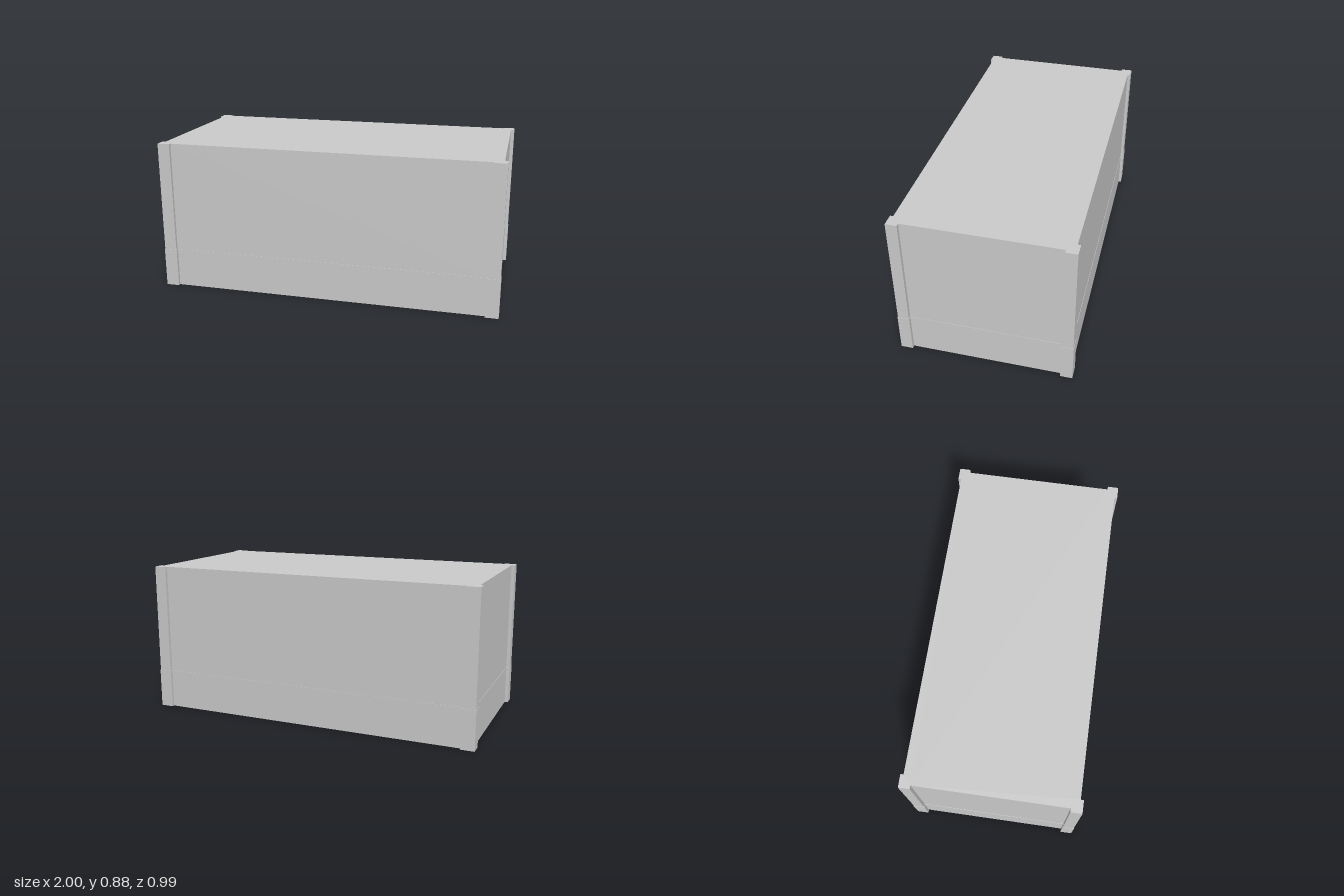
import * as THREE from 'three';

const material = new THREE.MeshStandardMaterial({ color: 0xcccccc, flatShading: true });

// Plan of the case: recessed walls between four projecting corner posts.
function outline({ postX, postZ, wallX, wallZ, innerX, innerZ }) {
  // one corner, running from the side wall to the long wall
  const corner = [
    [wallX, innerZ], [postX, innerZ], [postX, postZ], [innerX, postZ], [innerX, wallZ],
  ];
  const points = [];
  for (const [sx, sz] of [[1, 1], [-1, 1], [-1, -1], [1, -1]]) {
    const pts = corner.map(([x, z]) => new THREE.Vector2(x * sx, z * sz));
    points.push(...(sx * sz > 0 ? pts : pts.reverse()));
  }
  return new THREE.Shape(points);
}

function section(name, plan, bottom, top) {
  const geometry = new THREE.ExtrudeGeometry(outline(plan), { depth: top - bottom, bevelEnabled: false });
  geometry.rotateX(-Math.PI / 2);
  geometry.translate(0, bottom, 0);
  const mesh = new THREE.Mesh(geometry, material);
  mesh.name = name;
  return mesh;
}

export function createModel() {
  const group = new THREE.Group();
  group.name = 'case';
  const seam = 0.23;

  // lower part, a hair wider than the part above it
  group.add(section('lowerCase',
    { postX: 1, postZ: 0.494, wallX: 0.98, wallZ: 0.477, innerX: 0.922, innerZ: 0.426 }, 0, seam));

  // upper part with the flat lid
  group.add(section('upperCase',
    { postX: 0.998, postZ: 0.492, wallX: 0.978, wallZ: 0.475, innerX: 0.925, innerZ: 0.428 }, seam, 0.88));

  return group;
}
